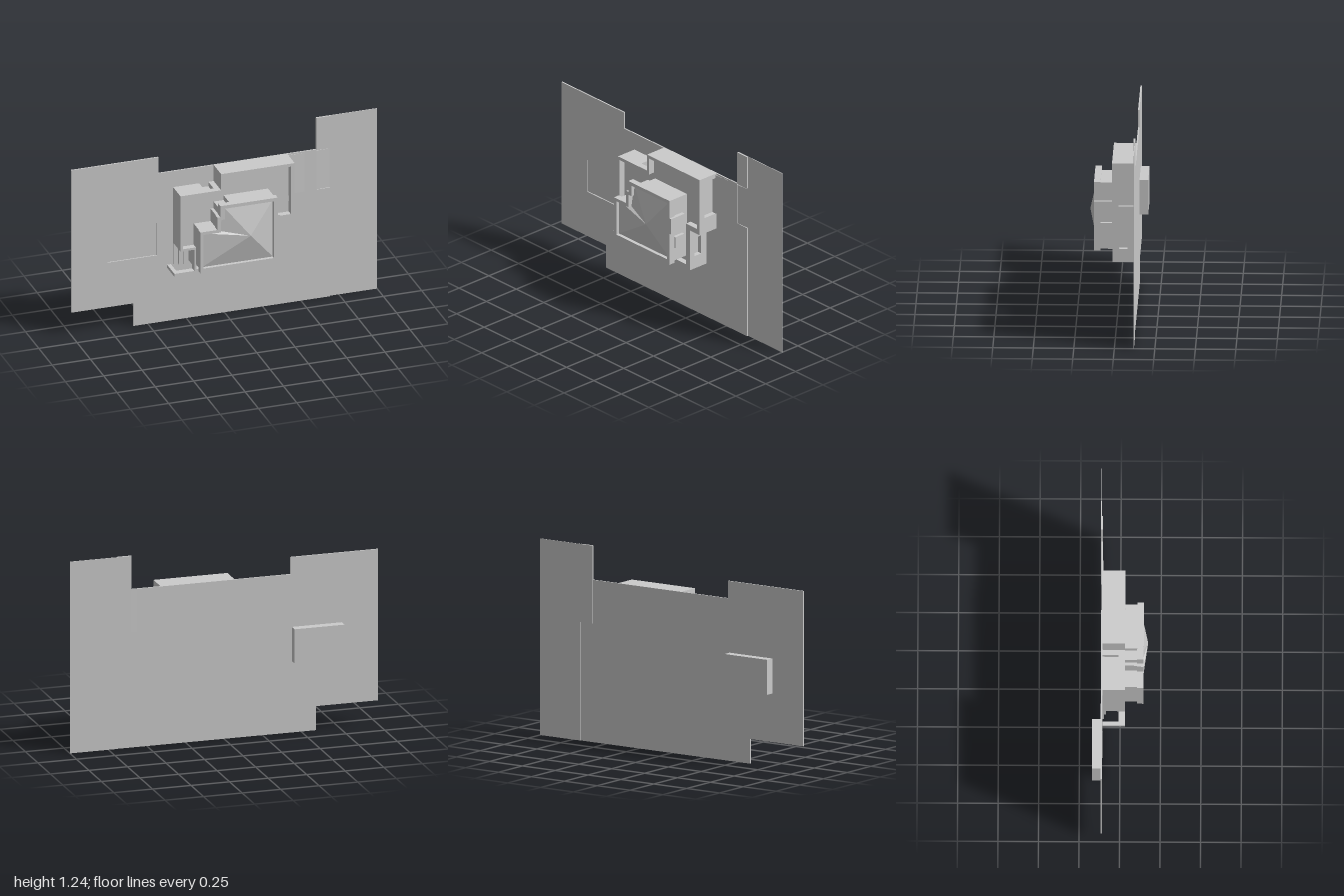
import * as THREE from 'three';

const material = new THREE.MeshStandardMaterial({ color: 0xcccccc, flatShading: true, side: THREE.DoubleSide });

export function createModel() {
  const model = new THREE.Group();

  const add = (name, geometry) => {
    const mesh = new THREE.Mesh(geometry, material);
    mesh.name = name;
    model.add(mesh);
    return mesh;
  };
  // Plan outline extruded between two heights along z
  const slab = (name, outline, z0, z1, hole) => {
    const shape = new THREE.Shape(outline.map(([x, y]) => new THREE.Vector2(x, y)));
    if (hole) shape.holes.push(new THREE.Path(hole.map(([x, y]) => new THREE.Vector2(x, y))));
    const g = new THREE.ExtrudeGeometry(shape, { depth: z1 - z0, bevelEnabled: false });
    return add(name, g.translate(0, 0, z0));
  };
  const rect = (x0, x1, y0, y1) => [[x0, y0], [x1, y0], [x1, y1], [x0, y1]];
  const block = (name, x0, x1, y0, y1, z0, z1) => {
    const g = new THREE.BoxGeometry(x1 - x0, y1 - y0, z1 - z0);
    return add(name, g.translate((x0 + x1) / 2, (y0 + y1) / 2, (z0 + z1) / 2));
  };

  // Ground with the pool opening, and the slightly lower side strip
  const pool = rect(-0.765, -0.44, 0.46, 0.68);
  slab('ground', [[-1, 0.155], [-0.595, 0.155], [-0.595, 0], [0.69, 0], [0.69, 0.745], [0.6, 0.745],
    [0.6, 1.02], [-0.43, 1.02], [-0.43, 1.13], [-1, 1.13]], -0.118, -0.109, pool);
  slab('lowerGround', [[0.69, 0], [1, 0], [1, 1.235], [0.6, 1.235], [0.6, 0.745], [0.69, 0.745]], -0.121, -0.117);
  block('raisedVerge', 0.6, 0.69, 1.02, 1.235, -0.118, -0.109);
  block('poolBasin', -0.765, -0.44, 0.46, 0.68, -0.172, -0.117);

  // Driveway sloping down from the garage
  const ramp = new THREE.Shape([[0.38, -0.115], [0.69, -0.12], [0.69, -0.116], [0.38, -0.103]]
    .map(([x, z]) => new THREE.Vector2(x, -z)));
  const rampGeometry = new THREE.ExtrudeGeometry(ramp, { depth: 0.265, bevelEnabled: false });
  add('drivewayRamp', rampGeometry.rotateX(-Math.PI / 2).translate(0, 0.745, 0));

  // Lower storey: walls with a garage recess, side window niche and rear window niche
  slab('lowerWalls', [[-0.335, 0.91], [-0.335, 0.53], [-0.245, 0.53], [-0.245, 0.41], [0.32, 0.41],
    [0.32, 0.45], [0.29, 0.45], [0.29, 0.575], [0.32, 0.575], [0.32, 0.64], [0.38, 0.64], [0.38, 0.99],
    [0.41, 0.99], [0.41, 1.02], [-0.07, 1.02], [-0.07, 0.91], [-0.105, 0.91], [-0.105, 0.88],
    [-0.165, 0.88], [-0.165, 0.91]], -0.112, -0.01);
  block('sideWindowSill', 0.285, 0.32, 0.45, 0.575, -0.112, -0.065);
  block('cornerPier', 0.29, 0.32, 0.365, 0.42, -0.112, -0.01);
  block('garagePier', 0.37, 0.41, 0.64, 0.745, -0.112, -0.01);

  // Lower parapet around the flat deck, with a porch canopy along the low side
  slab('lowerParapet', [[-0.335, 0.91], [-0.335, 0.53], [-0.245, 0.53], [-0.245, 0.385], [-0.375, 0.385],
    [-0.375, 0.365], [0.32, 0.365], [0.32, 0.64], [0.41, 0.64], [0.41, 1.02], [-0.07, 1.02], [-0.07, 0.91]],
  -0.01, 0.03,
  [[-0.32, 0.89], [-0.32, 0.545], [-0.23, 0.545], [-0.23, 0.395], [0.285, 0.395], [0.285, 0.675],
    [0.385, 0.675], [0.385, 1.0], [-0.05, 1.0], [-0.05, 0.89]]);
  slab('lowerDeck', rect(-0.23, 0.285, 0.39, 0.55), -0.014, -0.009);
  block('porchPost', -0.375, -0.35, 0.365, 0.385, -0.112, -0.01);

  // Entrance steps
  for (let i = 0; i < 3; i++) {
    block('entranceStep', -0.335 + i * 0.03, -0.245, 0.385, 0.53, -0.112, -0.1 + i * 0.012);
  }

  // Upper storey: walls set in under the parapet, with bays on the right side
  slab('upperWalls', [[-0.235, 0.43], [0.25, 0.43], [0.25, 0.853], [-0.04, 0.853], [-0.04, 0.82],
    [-0.105, 0.82], [-0.105, 0.775], [-0.125, 0.775], [-0.125, 0.69], [-0.235, 0.69]], -0.01, 0.108);
  block('upperBay', 0.24, 0.275, 0.635, 0.74, 0.03, 0.142);
  block('upperWindowBay', 0.24, 0.27, 0.525, 0.6, 0.03, 0.105);
  slab('upperParapet', [[-0.245, 0.42], [0.26, 0.42], [0.26, 0.635], [0.275, 0.635], [0.275, 0.74],
    [0.26, 0.74], [0.26, 0.86], [-0.115, 0.86], [-0.115, 0.785], [-0.135, 0.785], [-0.135, 0.7], [-0.245, 0.7]],
  0.105, 0.145,
  [[-0.225, 0.45], [0.235, 0.45], [0.235, 0.838], [-0.085, 0.838], [-0.085, 0.765], [-0.112, 0.765],
    [-0.112, 0.68], [-0.225, 0.68]]);

  // Hipped roof: a fan from the apex to the eaves
  const eaves = [[-0.225, 0.45], [0.235, 0.45], [0.235, 0.838], [-0.085, 0.838], [-0.112, 0.68], [-0.225, 0.68]];
  const points = [];
  eaves.forEach((p, i) => {
    const q = eaves[(i + 1) % eaves.length];
    points.push(...p, 0.122, ...q, 0.122, 0.075, 0.64, 0.172);
  });
  const roof = new THREE.BufferGeometry();
  roof.setAttribute('position', new THREE.Float32BufferAttribute(points, 3));
  roof.computeVertexNormals();
  add('hippedRoof', roof);

  return model;
}
